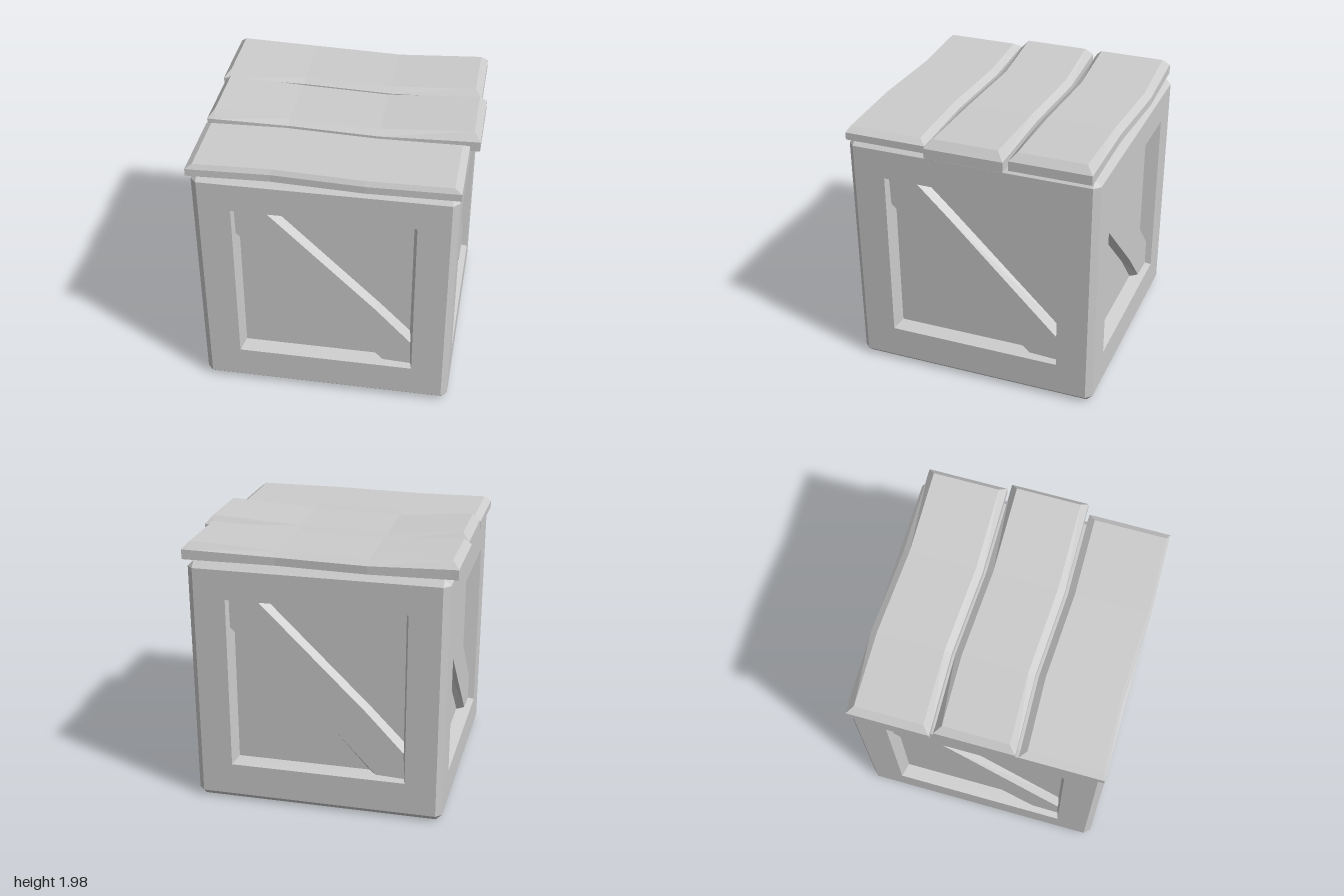
import * as THREE from 'three';

const material = new THREE.MeshStandardMaterial({ color: 0xcccccc, flatShading: true });

// Flat geometry from three- or four-cornered faces, corners anticlockwise from outside
function facesToGeometry(faces) {
  const pos = [];
  for (const f of faces) {
    for (let i = 1; i < f.length - 1; i++) pos.push(...f[0], ...f[i], ...f[i + 1]);
  }
  const g = new THREE.BufferGeometry();
  g.setAttribute('position', new THREE.Float32BufferAttribute(pos, 3));
  g.computeVertexNormals();
  return g;
}

// Half size, chamfered edge, window opening, recessed panel and depths of the crate
const H = 0.932, A = 0.887, HOLE = 0.655, PANEL = 0.625, FLOOR = 0.83, BRACE = 0.885, LIFT = 0.012;

// Moves a unit-built crate part into place: stands on the ground, slightly wider at the top
function settle(g) {
  const p = g.attributes.position;
  for (let i = 0; i < p.count; i++) {
    const y = (p.getY(i) + H) * 0.989;
    const w = 0.988 + 0.015 * y / 1.84;
    p.setXYZ(i, p.getX(i) * w - 0.015, y, p.getZ(i) * w - 0.003);
  }
  g.computeVertexNormals();
  return g;
}

const square = (s, n, lift = 0) => [[-s, -s + lift, n], [s, -s + lift, n], [s, s + lift, n], [-s, s + lift, n]];

// Band of four faces between an outer and an inner square
const band = (o, n) => o.map((c, i) => [c, o[(i + 1) % 4], n[(i + 1) % 4], n[i]]);

function windowFrame() {
  const hole = square(HOLE, H, LIFT);
  return facesToGeometry([...band(square(A, H), hole), ...band(hole, square(PANEL, FLOOR, LIFT))]);
}

// Chamfers around one quarter of the crate
function chamfers() {
  return facesToGeometry([
    [[A, -A, H], [H, -A, A], [H, A, A], [A, A, H]],
    [[-A, A, H], [A, A, H], [A, H, A], [-A, H, A]],
    [[-A, -H, A], [A, -H, A], [A, -A, H], [-A, -A, H]],
    [[A, A, H], [H, A, A], [A, H, A]],
    [[A, -H, A], [H, -A, A], [A, -A, H]],
  ]);
}

// Crooked diagonal board: top edges and foot edges of its lower and upper side
function brace({ low, lowFoot, up, upFoot }) {
  const at = (n) => ([u, v]) => [u, v, n];
  const L = low.map(at(BRACE)), U = up.map(at(BRACE));
  const l = lowFoot.map(at(FLOOR)), u = upFoot.map(at(FLOOR));
  const e = 0.642;
  const faces = [
    [L[0], U[0], [-e, e + LIFT, BRACE]],
    [L[2], [e, -e + LIFT, BRACE], U[2]],
  ];
  for (let i = 0; i < 2; i++) {
    faces.push([L[i], L[i + 1], U[i + 1], U[i]]);
    faces.push([l[i], l[i + 1], L[i + 1], L[i]]);
    faces.push([U[i], U[i + 1], u[i + 1], u[i]]);
  }
  return facesToGeometry(faces);
}

const bentLow = {
  low: [[-0.64, 0.44], [0.14, -0.31], [0.43, -0.62]],
  lowFoot: [[-0.64, 0.405], [0.105, -0.315], [0.38, -0.62]],
  up: [[-0.42, 0.645], [0.36, -0.13], [0.635, -0.425]],
  upFoot: [[-0.37, 0.645], [0.39, -0.11], [0.635, -0.365]],
};
const bentHigh = {
  low: [[-0.635, 0.44], [-0.36, 0.15], [0.43, -0.62]],
  lowFoot: [[-0.635, 0.395], [-0.39, 0.135], [0.375, -0.62]],
  up: [[-0.43, 0.645], [-0.2, 0.42], [0.635, -0.425]],
  upFoot: [[-0.38, 0.645], [-0.17, 0.44], [0.635, -0.36]],
};

// Wavy lid plank with chamfered top; rise curls up the top near the ends
function lidPlank({ x0, x1, z0, z1, top, rise, front }) {
  const bottom = 1.846, c = 0.05;
  const ring = (x, dz, r, end) => {
    const a = z0 + dz, b = z1 + dz, edge = top - 0.035 + r * 0.4;
    const t = end ? edge : top + r;
    return [
      [x, bottom, a], [x, edge, a], [x, t, end ? a : a + c],
      [x, t, end ? b : b - front], [x, edge, b], [x, bottom, b],
    ];
  };
  const rings = [
    ring(x0, 0, rise, true), ring(x0 + c, 0, rise),
    ring(-0.38, -0.022, 0), ring(0.28, 0.012, 0),
    ring(x1 - c, 0, rise), ring(x1, 0, rise, true),
  ];
  const faces = [];
  for (let k = 0; k < rings.length - 1; k++) {
    const a = rings[k], b = rings[k + 1];
    for (let i = 0; i < 6; i++) {
      const j = (i + 1) % 6;
      faces.push([a[j], b[j], b[i], a[i]]);
    }
  }
  const s = rings[0], e = rings[rings.length - 1];
  faces.push([s[0], s[5], s[4], s[1]], [e[5], e[0], e[1], e[4]]);
  return facesToGeometry(faces);
}

export function createModel() {
  const model = new THREE.Group();
  model.name = 'woodenCrate';
  const add = (name, geometry) => {
    const mesh = new THREE.Mesh(geometry, material);
    mesh.name = name;
    model.add(mesh);
  };

  // One framed, braced wall, turned to its side
  const wall = (name, turn, shape) => {
    const place = (g) => settle(g.applyMatrix4(turn));
    add(name + 'Frame', place(windowFrame()));
    add(name + 'Panel', place(facesToGeometry([square(PANEL, FLOOR, LIFT)])));
    add(name + 'Brace', place(brace(shape)));
  };
  ['front', 'left', 'back', 'right'].forEach((name, i) => {
    const turn = new THREE.Matrix4().makeRotationY(i * Math.PI / 2);
    wall(name, turn, i % 2 ? bentHigh : bentLow);
    add(name + 'Chamfers', settle(chamfers().applyMatrix4(turn)));
  });
  wall('bottom', new THREE.Matrix4().makeRotationX(Math.PI / 2), bentLow);

  // Flat top under the lid
  const up = new THREE.Matrix4().makeRotationX(-Math.PI / 2);
  add('topBoard', settle(facesToGeometry([square(A, H)]).applyMatrix4(up)));

  // Lid
  add('backLidPlank', lidPlank({ x0: -1, x1: 0.96, z0: -0.9, z1: -0.305, top: 1.94, rise: 0.03, front: 0.05 }));
  add('middleLidPlank', lidPlank({ x0: -0.975, x1: 1, z0: -0.28, z1: 0.3, top: 1.94, rise: 0.04, front: 0.05 }));
  add('frontLidPlank', lidPlank({ x0: -0.975, x1: 0.93, z0: 0.325, z1: 0.93, top: 1.935, rise: 0, front: 0.02 }));
  return model;
}
